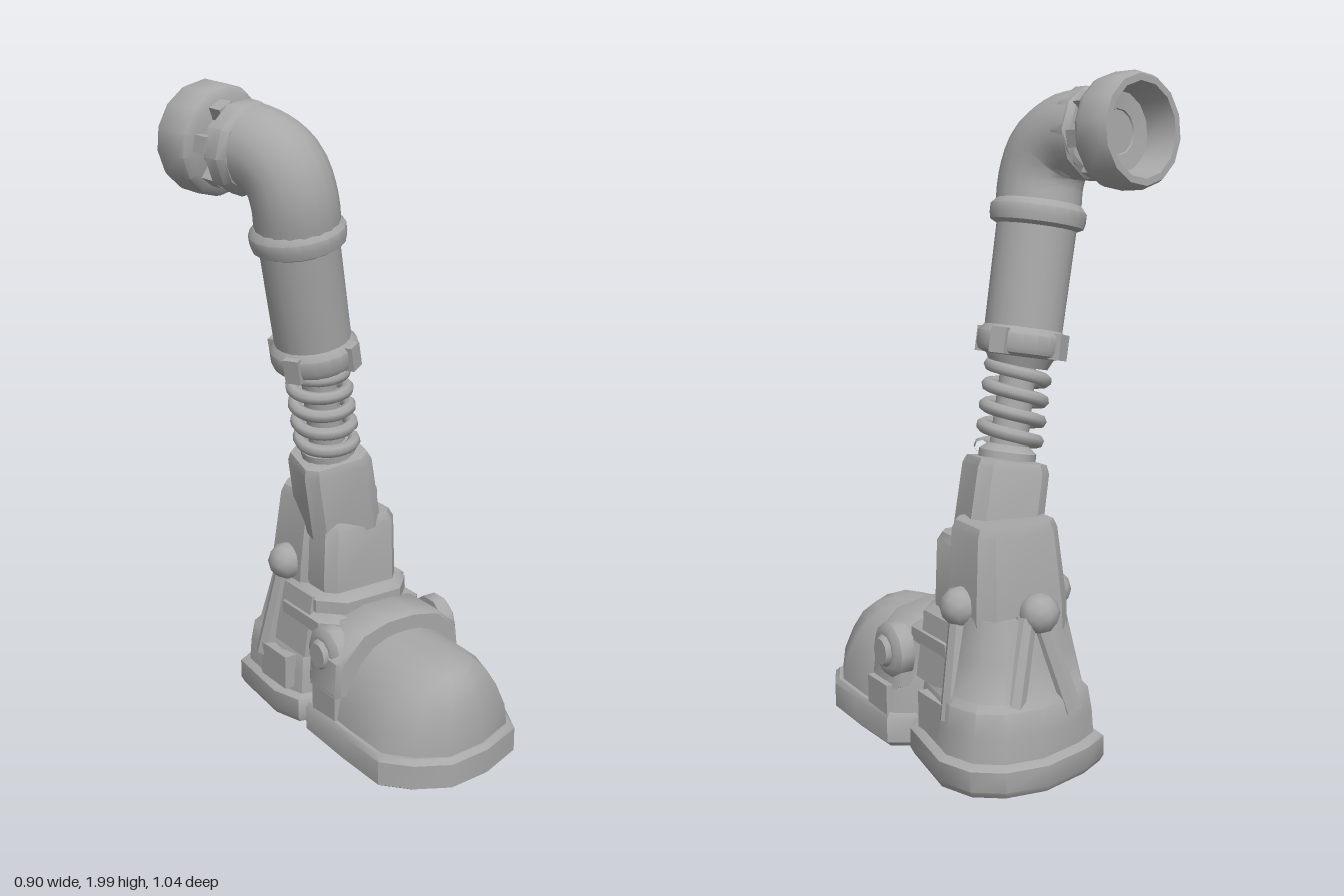
import * as THREE from 'three';
import { toCreasedNormals } from 'three/addons/utils/BufferGeometryUtils.js';

const V = (x, y, z) => new THREE.Vector3(x, y, z);
const metal = new THREE.MeshStandardMaterial({ color: 0xa8a8a8 });
metal.name = 'grey metal';
const YAW = 0.22;

function add(parent, name, geo, pos = [0, 0, 0], crease = 0.7) {
  const mesh = new THREE.Mesh(toCreasedNormals(geo, crease), metal);
  mesh.name = name;
  mesh.position.set(...pos);
  parent.add(mesh);
  return mesh;
}

// Stack scaled copies of an [x, z] outline; level = [y, scaleX, scaleZ, dx, dz]
function loft(outline, center, levels) {
  let area = 0;
  outline.forEach(([x, z], i) => {
    const [u, w] = outline[(i + 1) % outline.length];
    area += x * w - u * z;
  });
  const o = area > 0 ? [...outline].reverse() : outline;
  const n = o.length, pos = [], idx = [];
  for (const [y, sx, sz = sx, dx = 0, dz = 0] of levels)
    for (const [x, z] of o)
      pos.push(center[0] + dx + (x - center[0]) * sx, y, center[1] + dz + (z - center[1]) * sz);
  for (let l = 0; l < levels.length - 1; l++)
    for (let i = 0; i < n; i++) {
      const a = l * n + i, b = l * n + (i + 1) % n;
      idx.push(a, b, b + n, a, b + n, a + n);
    }
  const ends = [[0, 0, true], [levels.length - 1, (levels.length - 1) * n, false]];
  for (const [l, start, bottom] of ends) {
    const [y, , , dx = 0, dz = 0] = levels[l], c = pos.length / 3;
    pos.push(center[0] + dx, y, center[1] + dz);
    for (let i = 0; i < n; i++) {
      const a = start + i, b = start + (i + 1) % n;
      idx.push(...(bottom ? [c, b, a] : [c, a, b]));
    }
  }
  const g = new THREE.BufferGeometry();
  g.setAttribute('position', new THREE.Float32BufferAttribute(pos, 3));
  g.setIndex(idx);
  return g;
}

// Rectangle with cut corners
const chamfer = (w, d, c) => [[w, d - c], [w - c, d], [c - w, d], [-w, d - c],
  [-w, c - d], [c - w, -d], [w - c, -d], [w, c - d]];

const lathe = (pts, seg = 16) =>
  new THREE.LatheGeometry(pts.map(([r, y]) => new THREE.Vector2(r, y)), seg);

// Group whose y axis starts at a and runs along dir
function axisGroup(parent, name, a, dir) {
  const g = new THREE.Group();
  g.name = name;
  g.position.copy(a);
  g.quaternion.setFromUnitVectors(V(0, 1, 0), dir.clone().normalize());
  parent.add(g);
  return g;
}

function rod(parent, name, a, b, r0, r1, seg = 8) {
  const d = b.clone().sub(a), len = d.length();
  add(axisGroup(parent, name, a, d), name, new THREE.CylinderGeometry(r1, r0, len, seg), [0, len / 2, 0]);
}

export function createModel() {
  const root = new THREE.Group();
  root.name = 'mechanicalLeg';

  // Toe half of the foot
  const toe = new THREE.Group();
  toe.name = 'toe';
  toe.position.set(0.13, 0, 0);
  toe.rotation.y = YAW;
  root.add(toe);
  const toeLine = [[-0.25, -0.02], [-0.26, 0.2], [-0.26, 0.38], [-0.19, 0.46], [-0.09, 0.515], [0.05, 0.505],
    [0.2, 0.45], [0.25, 0.35], [0.255, 0.2], [0.25, 0], [0.18, -0.04], [-0.18, -0.04]];
  add(toe, 'toeSole', loft(toeLine, [0, 0.1], [[0.01, 0.94], [0.025, 1], [0.1, 1], [0.115, 0.96]]));
  add(toe, 'toeCap', loft(toeLine, [0, 0], [[0.1, 0.92, 0.96], [0.18, 0.87, 0.955], [0.25, 0.74, 0.93],
    [0.3, 0.6, 0.9], [0.335, 0.44, 0.84], [0.355, 0.24, 0.74], [0.36, 0.1, 0.6]]), [0, 0, 0], 1.1);

  // Instep band arching over the toe cap
  const arch = new THREE.Shape();
  arch.moveTo(-0.225, 0.2);
  [[-0.22, 0.3], [-0.14, 0.38], [-0.05, 0.405], [0.05, 0.405], [0.14, 0.385], [0.21, 0.32], [0.225, 0.2]]
    .forEach(p => arch.lineTo(...p));
  add(toe, 'instepBand', new THREE.ExtrudeGeometry(arch, { depth: 0.13, bevelEnabled: true,
    bevelThickness: 0.02, bevelSize: 0.01, bevelSegments: 1 }), [-0.01, 0, 0]);
  for (const s of [-1, 1]) {
    const disc = add(toe, 'hingeDisc', lathe([[0, -0.03], [0.085, -0.03], [0.085, 0.015], [0.065, 0.03],
      [0.05, 0.03], [0.04, 0.045], [0, 0.045]], 10), [s * 0.205, 0.3, 0.04]);
    disc.rotation.z = -s * Math.PI / 2;
    add(toe, 'toeSidePad', new THREE.BoxGeometry(0.04, 0.1, 0.12), [s * 0.225, 0.15, 0.07]);
  }

  // Heel half of the foot
  const heelLine = [[-0.2, -0.36], [-0.12, -0.43], [0.03, -0.51], [0.16, -0.52], [0.25, -0.48], [0.31, -0.38],
    [0.32, -0.12], [0.28, -0.05], [-0.12, -0.03], [-0.17, -0.12]];
  const heelMid = [0.06, -0.2];
  add(root, 'heelSole', loft(heelLine, heelMid, [[0.01, 0.96], [0.03, 1], [0.09, 1], [0.1, 0.95]]));
  add(root, 'heelBody', loft(heelLine, heelMid, [[0.09, 0.9], [0.17, 0.88], [0.24, 0.84], [0.26, 0.77],
    [0.36, 0.68], [0.48, 0.58]]));

  // Ankle, built square to the foot
  const ankle = new THREE.Group();
  ankle.name = 'ankle';
  ankle.position.set(0.07, 0, -0.17);
  ankle.rotation.y = YAW;
  root.add(ankle);
  for (const [y, w, d, z] of [[0.36, 0.19, 0.17, 0.07], [0.415, 0.17, 0.16, 0.04]])
    add(ankle, 'ankleFold', loft(chamfer(w, d, 0.07), [0, 0], [[y - 0.035, 0.9, 0.9, 0, z],
      [y - 0.02, 1, 1, 0, z], [y + 0.02, 1, 1, 0, z], [y + 0.035, 0.88, 0.88, 0, z]]));
  add(ankle, 'ankleBlock', loft(chamfer(0.135, 0.13, 0.03), [0, 0], [[0.4, 0.95, 1, 0, 0.025],
    [0.47, 1, 1, 0, 0.02], [0.65, 0.95, 1, 0, 0.02], [0.675, 0.86, 0.9, 0, 0.02]]));
  add(ankle, 'ankleBackShell', loft(chamfer(0.145, 0.12, 0.04), [0, 0], [[0.42, 1.05, 1, 0, -0.07],
    [0.5, 1.05, 1, 0, -0.065], [0.71, 0.92, 0.92, 0, -0.05], [0.735, 0.85, 0.85, 0, -0.05]]));
  for (const s of [-1, 1]) {
    add(ankle, 'anklePanel', new THREE.BoxGeometry(0.05, 0.2, 0.17), [s * 0.165, 0.34, 0.03]).rotation.z = s * 0.15;
    add(ankle, 'ankleBall', new THREE.IcosahedronGeometry(0.06, 1), [s * 0.155, 0.5, -0.06], 1.2);
    rod(ankle, 'sideStrut', V(s * 0.21, 0.18, -0.1), V(s * 0.155, 0.5, -0.06), 0.035, 0.03);
    rod(ankle, 'backStrut', V(s * 0.1, 0.2, -0.25), V(s * 0.02, 0.48, -0.2), 0.035, 0.03);
    add(ankle, 'heelPad', new THREE.BoxGeometry(0.05, 0.11, 0.14), [s * 0.21, 0.17, -0.02]);
  }
  add(ankle, 'rearBall', new THREE.IcosahedronGeometry(0.06, 1), [-0.02, 0.49, -0.205], 1.2);

  // Tilted shaft: shin block, spring and sleeve
  const base = V(0.045, 0.7, -0.125), top = V(-0.115, 1.6, -0.02);
  const shaft = axisGroup(root, 'shaft', base, top.clone().sub(base));
  add(shaft, 'shinBlock', loft(chamfer(0.113, 0.108, 0.035), [0, 0],
    [[-0.06, 1], [0.16, 0.98], [0.185, 0.9], [0.19, 0.6]]));
  add(shaft, 'springRod', new THREE.CylinderGeometry(0.052, 0.058, 0.36, 12), [0, 0.34, 0]);
  add(shaft, 'springSeat', lathe([[0, 0.18], [0.085, 0.18], [0.085, 0.21], [0.06, 0.23], [0, 0.23]]));
  const coil = [], turns = 4.5, steps = 60;
  for (let i = 0; i <= steps; i++) {
    const a = i / steps * turns * Math.PI * 2;
    coil.push(V(Math.cos(a) * 0.083, 0.215 + 0.27 * i / steps, Math.sin(a) * 0.083));
  }
  add(shaft, 'spring', new THREE.TubeGeometry(new THREE.CatmullRomCurve3(coil), 110, 0.02, 7), [0, 0, 0], 1.2);
  add(shaft, 'sleeve', lathe([[0, 0.46], [0.085, 0.46], [0.1, 0.49], [0.125, 0.5], [0.132, 0.515], [0.132, 0.555],
    [0.115, 0.575], [0.118, 0.87], [0.138, 0.88], [0.142, 0.9], [0.142, 0.925], [0.125, 0.945], [0, 0.945]], 20));
  for (let i = 0; i < 4; i++) {
    const a = 0.7 + i * Math.PI / 2;
    add(shaft, 'collarLug', new THREE.BoxGeometry(0.05, 0.075, 0.04),
      [Math.sin(a) * 0.122, 0.53, Math.cos(a) * 0.122]).rotation.y = a;
  }

  // Elbow bend
  const bend = new THREE.CatmullRomCurve3([V(-0.113, 1.59, -0.02), V(-0.128, 1.69, -0.005),
    V(-0.15, 1.77, -0.025), V(-0.185, 1.815, -0.08), V(-0.225, 1.83, -0.15)]);
  add(root, 'elbow', new THREE.TubeGeometry(bend, 14, 0.126, 18), [0, 0, 0], 1.2);

  // Neck ring and open socket at the upper end
  const aim = V(-0.41, 0.08, -0.91).normalize();
  const middle = V(-0.285, 1.835, -0.265);
  const socket = axisGroup(root, 'socket', middle.clone().addScaledVector(aim, -0.065), aim);
  add(socket, 'neckRing', lathe([[0, -0.12], [0.12, -0.12], [0.137, -0.1], [0.137, -0.055], [0.12, -0.04], [0, -0.04]], 10));
  add(socket, 'neck', new THREE.CylinderGeometry(0.095, 0.095, 0.1, 12), [0, -0.02, 0]);
  for (let i = 0; i < 6; i++) {
    const a = i * Math.PI / 3;
    add(socket, 'neckLug', new THREE.BoxGeometry(0.05, 0.06, 0.04),
      [Math.sin(a) * 0.11, -0.015, Math.cos(a) * 0.11]).rotation.y = a;
  }
  add(socket, 'socketCup', lathe([[0, 0], [0.135, 0], [0.158, 0.015], [0.165, 0.035], [0.165, 0.11], [0.155, 0.13],
    [0.135, 0.13], [0.115, 0.04], [0.065, 0.035], [0.055, 0.012], [0, 0.012]], 14));

  return root;
}
